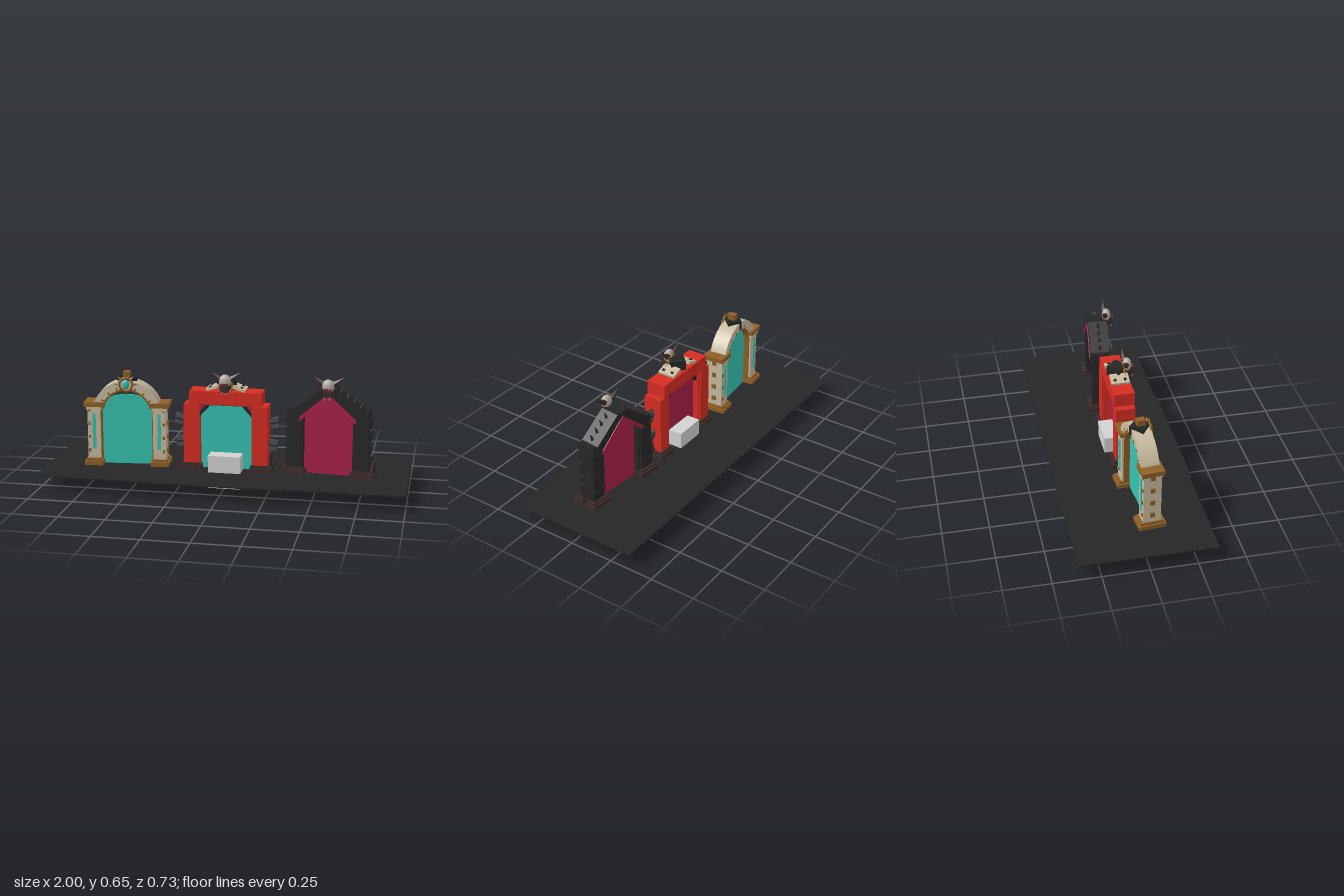
import * as THREE from 'three';

const mat = (name, color, side = THREE.FrontSide) => {
  const m = new THREE.MeshStandardMaterial({ color, side });
  m.name = name;
  return m;
};

export function createModel() {
  const black = mat('charcoal', 0x262626), red = mat('red', 0xd62d22);
  const teal = mat('teal', 0x36c2b2), crimson = mat('crimson', 0xa82048);
  const gold = mat('bronze', 0x8f6027), stone = mat('pale stone', 0xc9bb9f);
  const brown = mat('dark brown', 0x3c2b2a), bone = mat('bone', 0xb3aca2);
  const steel = mat('steel', 0x4b4f55), grey = mat('light grey', 0xd2d2d2);

  const add = (parent, name, geo, m, x = 0, y = 0, z = 0, rz = 0) => {
    const mesh = new THREE.Mesh(geo, m);
    mesh.name = name;
    mesh.position.set(x, y, z);
    mesh.rotation.z = rz;
    parent.add(mesh);
    return mesh;
  };
  const box = (p, name, m, w, h, d, x, y, z = 0, rz = 0) =>
    add(p, name, new THREE.BoxGeometry(w, h, d), m, x, y, z, rz);
  // Flat-sided spike; its foot sits at x, y, z
  const spike = (p, name, m, r, h, x, y, z = 0, rz = 0, sides = 4) => {
    const g = new THREE.ConeGeometry(r, h, sides).toNonIndexed();
    g.computeVertexNormals();
    g.translate(0, h / 2, 0);
    return add(p, name, g, m, x, y, z, rz);
  };
  // Extruded outline centred in depth
  const slab = (p, name, m, shape, depth, z = 0) => {
    const g = new THREE.ExtrudeGeometry(shape, { depth, bevelEnabled: false, curveSegments: 20 });
    g.translate(0, 0, -depth / 2);
    return add(p, name, g, m, 0, 0, z);
  };
  const poly = (pts) => new THREE.Shape(pts.map(([x, y]) => new THREE.Vector2(x, y)));
  const both = (fn) => [-1, 1].forEach(fn);

  const root = new THREE.Group();
  root.name = 'threeGates';
  const gate = (name, x, turn) => {
    const g = new THREE.Group();
    g.name = name;
    g.position.set(x, 0, 0.037);
    g.rotation.y = turn;
    root.add(g);
    return g;
  };

  // Ground and marker block
  box(root, 'ground', black, 2, 0.008, 0.723, 0, 0.085, -0.005);
  box(root, 'groundStep', black, 0.81, 0.008, 0.012, 0, 0.085, 0.361);
  box(root, 'markerBlock', grey, 0.18, 0.183, 0.18, 0, 0.0915, 0.04);

  // Horned skull crest
  const skull = (p, y, z) => {
    const s = new THREE.Group();
    s.name = 'skullCrest';
    s.position.set(0, y, z);
    p.add(s);
    const dome = add(s, 'skull', new THREE.SphereGeometry(0.034, 12, 8), bone);
    dome.scale.set(1, 1.1, 0.75);
    box(s, 'faceGuard', brown, 0.042, 0.045, 0.034, 0, -0.033, 0.018);
    both((k) => {
      box(s, 'eye', crimson, 0.013, 0.009, 0.006, k * 0.012, -0.014, 0.035);
      spike(s, 'horn', brown, 0.018, 0.07, k * 0.026, 0.008, -0.01, -k * 0.95, 5);
      spike(s, 'tusk', bone, 0.006, 0.025, k * 0.014, -0.05, 0.03, Math.PI, 4);
    });
  };
  // Pillar foot with stepped slabs
  const foot = (p, m, k, x, w) => {
    box(p, 'foot', m, w, 0.024, 0.145, k * x, 0.105);
    box(p, 'footStep', m, w * 0.82, 0.016, 0.125, k * x, 0.122);
  };

  // Arched stone gate
  const arch = gate('stoneGate', -0.562, 0.09);
  both((k) => {
    foot(arch, gold, k, 0.185, 0.102);
    box(arch, 'column', stone, 0.072, 0.31, 0.095, k * 0.183, 0.275);
    box(arch, 'innerJamb', gold, 0.012, 0.31, 0.075, k * 0.147, 0.275);
    box(arch, 'capital', gold, 0.105, 0.026, 0.12, k * 0.185, 0.437);
    box(arch, 'collar', stone, 0.085, 0.016, 0.108, k * 0.183, 0.416);
    both((f) => box(arch, 'inlay', teal, 0.018, 0.2, 0.006, k * 0.182, 0.285, f * 0.049));
    for (let i = 0; i < 4; i++) {
      box(arch, 'stud', gold, 0.012, 0.024, 0.024, k * 0.222, 0.175 + i * 0.077);
      both((f) => box(arch, 'faceStud', gold, 0.012, 0.018, 0.01, k * 0.208, 0.175 + i * 0.077, f * 0.048));
    }
  });
  const ring = (ro, ri, cy, low) => {
    const a = Math.asin(low / ro), b = Math.asin(low / ri);
    const s = new THREE.Shape();
    s.absarc(0, cy, ro, a, Math.PI - a, false);
    s.absarc(0, cy, ri, Math.PI - b, b, true);
    return s;
  };
  slab(arch, 'archBand', stone, ring(0.192, 0.146, 0.38, 0.06), 0.095);
  slab(arch, 'archLining', gold, ring(0.148, 0.134, 0.38, 0.03), 0.075);
  for (let i = 0; i < 7; i++) {
    const a = 0.55 + i * (Math.PI - 1.1) / 6;
    box(arch, 'archRib', gold, 0.02, 0.008, 0.1, Math.cos(a) * 0.152, 0.38 + Math.sin(a) * 0.152, 0, a);
  }
  const doorway = new THREE.Shape();
  doorway.moveTo(-0.145, 0.09);
  doorway.lineTo(0.145, 0.09);
  doorway.lineTo(0.145, 0.4);
  doorway.bezierCurveTo(0.14, 0.46, 0.08, 0.488, 0, 0.488);
  doorway.bezierCurveTo(-0.08, 0.488, -0.14, 0.46, -0.145, 0.4);
  slab(arch, 'portal', teal, doorway, 0.012);

  // Spoked emblem on a dark diamond keystone
  const emblem = (p, y, z, gem) => {
    const key = box(p, 'keystone', black, 0.08, 0.055, 0.08, 0, y + 0.005, 0);
    key.rotation.y = Math.PI / 4;
    add(p, 'emblemRing', new THREE.TorusGeometry(0.036, 0.007, 6, 20), gold, 0, y, z);
    for (let i = 0; i < 8; i++) {
      const a = i * Math.PI / 4;
      spike(p, 'ray', gold, 0.008, 0.028, -Math.sin(a) * 0.038, y + Math.cos(a) * 0.038, z, a);
    }
    const core = add(p, 'emblemGem', new THREE.SphereGeometry(0.028, 12, 8), gem, 0, y, z);
    core.scale.set(0.7, 1, 0.5);
  };
  emblem(arch, 0.555, 0.05, teal);
  box(arch, 'crownBlock', gold, 0.035, 0.05, 0.045, 0, 0.595, 0.003);

  // Red timber gate
  const timber = gate('redGate', 0, 0);
  both((k) => {
    foot(timber, brown, k, 0.195, 0.12);
    box(timber, 'post', red, 0.078, 0.36, 0.105, k * 0.194, 0.28);
    box(timber, 'innerPost', red, 0.022, 0.36, 0.085, k * 0.155, 0.28);
    spike(timber, 'footSpike', brown, 0.022, 0.12, k * 0.235, 0.11, 0, -k * 0.15);
    slab(timber, 'bracket', black,
      poly([[k * 0.158, 0.375], [k * 0.158, 0.468], [k * 0.075, 0.468]]), 0.06);
    both((f) => slab(timber, 'bracketInset', crimson,
      poly([[k * 0.152, 0.405], [k * 0.152, 0.462], [k * 0.11, 0.462]]), 0.006, f * 0.031));
    [[0.266, 0.365, 0.2], [0.258, 0.238, -0.12]].forEach(([x, y, r]) => {
      box(timber, 'lanternArm', brown, 0.05, 0.01, 0.015, k * 0.245, y + 0.022);
      box(timber, 'lantern', steel, 0.045, 0.055, 0.03, k * x, y, 0, k * r);
      box(timber, 'lanternBand', black, 0.049, 0.008, 0.034, k * x, y, 0, k * r);
    });
    const plate = box(timber, 'crestPlate', stone, 0.07, 0.014, 0.1, k * 0.073, 0.553, 0, -k * 0.3);
    both((f) => box(plate, 'plateStud', black, 0.015, 0.006, 0.015, k * 0.012, 0.009, f * 0.028));
  });
  box(timber, 'lintel', red, 0.4, 0.075, 0.112, 0, 0.499);
  box(timber, 'lintelUnderside', brown, 0.31, 0.012, 0.08, 0, 0.462);
  box(timber, 'portalFront', teal, 0.31, 0.375, 0.006, 0, 0.28, 0.004);
  box(timber, 'portalBack', crimson, 0.31, 0.375, 0.006, 0, 0.28, -0.004);
  emblem(timber, 0.565, 0.035, brown);
  skull(timber, 0.597, 0.055);

  // Black spiked gate
  const dark = gate('spikedGate', 0.564, -0.09);
  both((k) => {
    foot(dark, brown, k, 0.19, 0.13);
    box(dark, 'pillar', black, 0.08, 0.35, 0.1, k * 0.185, 0.28, 0, k * 0.025);
    box(dark, 'innerPillar', black, 0.025, 0.33, 0.075, k * 0.148, 0.265);
    spike(dark, 'footSpike', brown, 0.026, 0.11, k * 0.235, 0.1, 0, -k * 0.2);
    slab(dark, 'roofBeam', black, poly([
      [k * 0.19, 0.395], [k * 0.19, 0.455], [k * 0.03, 0.575], [0, 0.575], [0, 0.535], [k * 0.14, 0.405],
    ]), 0.108);
    both((f) => slab(dark, 'roofTrim', crimson, poly([
      [k * 0.155, 0.39], [k * 0.155, 0.415], [0, 0.55], [0, 0.53],
    ]), 0.006, f * 0.056));
    for (let i = 0; i < 4; i++)
      spike(dark, 'roofSpike', brown, 0.012, 0.05, k * (0.06 + i * 0.036), 0.545 - i * 0.027, 0, -k * 0.4);
    for (let i = 0; i < 3; i++)
      spike(dark, 'pillarSpike', brown, 0.009, 0.03, k * 0.222, 0.2 + i * 0.072, 0, -k * 0.7);
    [0.345, 0.255, 0.2].forEach((y) =>
      add(dark, 'chainLink', new THREE.TorusGeometry(0.015, 0.004, 5, 12), black, k * 0.228, y, 0.02));
    [0.18, 0.29, 0.4].forEach((y) =>
      box(dark, 'pillarBand', black, 0.088, 0.014, 0.108, k * 0.186, y, 0, k * 0.025));
  });
  slab(dark, 'portal', crimson,
    poly([[-0.15, 0.09], [0.15, 0.09], [0.15, 0.42], [0, 0.54], [-0.15, 0.42]]), 0.012);
  box(dark, 'ridgeBlock', black, 0.07, 0.04, 0.112, 0, 0.555);
  skull(dark, 0.593, 0.055);

  return root;
}
